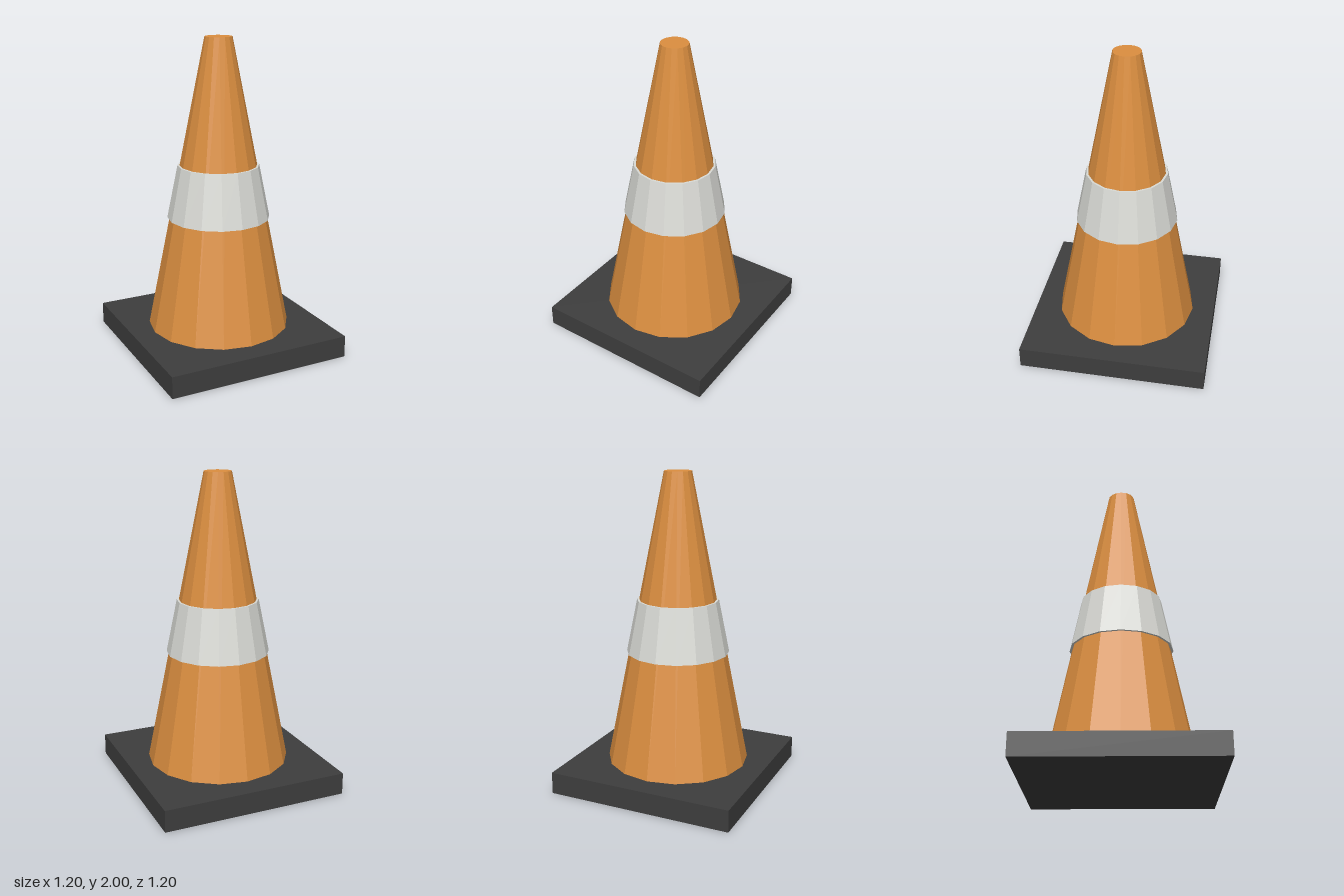
import * as THREE from 'three';

const SIDES = 16;

function material(name, color) {
  const m = new THREE.MeshStandardMaterial({ color, flatShading: true });
  m.name = name;
  return m;
}

export function createModel() {
  const group = new THREE.Group();
  group.name = 'trafficCone';

  const orange = material('orange plastic', 0xdc8f40);
  const white = material('reflective white', 0xdadbd6);
  const rubber = material('dark rubber', 0x3e3e3e);

  function add(name, geometry, mat, y) {
    const mesh = new THREE.Mesh(geometry, mat);
    mesh.name = name;
    mesh.position.y = y;
    group.add(mesh);
  }

  // A faceted, capped frustum standing between two heights
  function frustum(name, rBottom, rTop, y0, y1, mat) {
    add(name, new THREE.CylinderGeometry(rTop, rBottom, y1 - y0, SIDES), mat, (y0 + y1) / 2);
  }

  // Square foot
  add('base', new THREE.BoxGeometry(1.2, 0.14, 1.2), rubber, 0.07);

  // Tapered body and the slightly wider band around it
  frustum('coneBody', 0.457, 0.086, 0.14, 2, orange);
  frustum('reflectiveBand', 0.328, 0.259, 0.86, 1.2, white);

  return group;
}
